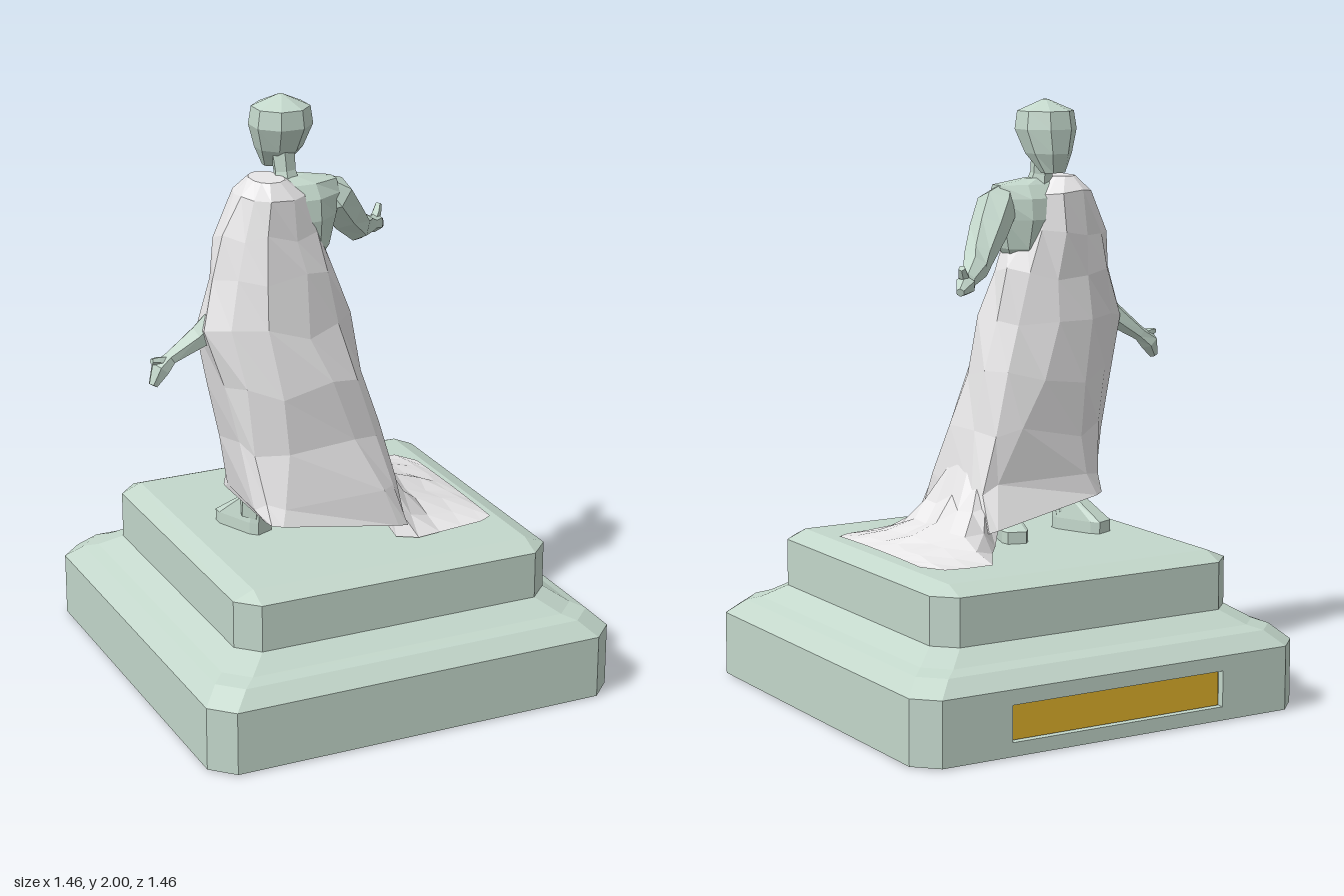
import * as THREE from 'three';

const mat = (name, color, side = THREE.FrontSide) => {
  const m = new THREE.MeshStandardMaterial({ color, flatShading: true, side });
  m.name = name;
  return m;
};
const V = (x, y, z) => new THREE.Vector3(x, y, z);
const noise = (i, j) => {
  const s = Math.sin(i * 127.1 + j * 311.7) * 43758.5453;
  return (s - Math.floor(s)) * 2 - 1;
};

// Skin rings of points (counted from +x toward +z) from bottom to top
function loft(rings, { closed = true, bottom = true, top = true, skip = () => false } = {}) {
  const pos = [];
  const tri = (...p) => p.forEach((v) => pos.push(v.x, v.y, v.z));
  const n = rings[0].length;
  for (let i = 0; i < rings.length - 1; i++) {
    for (let j = 0; j < (closed ? n : n - 1); j++) {
      if (skip(i, j)) continue;
      const k = (j + 1) % n;
      const a = rings[i][j], b = rings[i][k], c = rings[i + 1][k], d = rings[i + 1][j];
      tri(a, d, c);
      tri(a, c, b);
    }
  }
  const cap = (r, up) => {
    const m = r.reduce((s, p) => s.add(p), V(0, 0, 0)).divideScalar(n);
    r.forEach((p, j) => (up ? tri(m, r[(j + 1) % n], p) : tri(m, p, r[(j + 1) % n])));
  };
  if (bottom) cap(rings[0], false);
  if (top) cap(rings[rings.length - 1], true);
  const g = new THREE.BufferGeometry();
  g.setAttribute('position', new THREE.Float32BufferAttribute(pos, 3));
  g.computeVertexNormals();
  return g;
}

// Ring filling the box x0..x1, z0..z1; smaller e is squarer
function oval(y, x0, x1, z0, z1, n = 8, e = 1) {
  const f = (v) => Math.sign(v) * Math.pow(Math.abs(v), e);
  return Array.from({ length: n }, (_, j) => {
    const t = ((j + 0.5) / n) * Math.PI * 2;
    const s = 1 / f(Math.cos(Math.PI / n));
    return V((x0 + x1) / 2 + (x1 - x0) / 2 * f(Math.cos(t)) * s, y,
      (z0 + z1) / 2 + (z1 - z0) / 2 * f(Math.sin(t)) * s);
  });
}

// Square ring with cut corners
function cutSquare(h, c, y) {
  const k = h - c;
  return [[h, -k], [h, k], [k, h], [-k, h], [-h, k], [-h, -k], [-k, -h], [k, -h]]
    .map(([x, z]) => V(x, y, z));
}

// Tapered limb through [x, y, z, radius] stations
function limb(stations, n = 6) {
  const pts = stations.map((s) => V(s[0], s[1], s[2]));
  const rings = pts.map((p, i) => {
    const T = pts[Math.min(i + 1, pts.length - 1)].clone().sub(pts[Math.max(i - 1, 0)]).normalize();
    const U = V(0.3, 0.2, 1).cross(T).normalize();
    const W = U.clone().cross(T);
    return Array.from({ length: n }, (_, j) => {
      const t = (j / n) * Math.PI * 2;
      return p.clone().addScaledVector(U, Math.cos(t) * stations[i][3])
        .addScaledVector(W, Math.sin(t) * stations[i][3]);
    });
  });
  return loft(rings);
}

export function createModel() {
  const root = new THREE.Group();
  const stone = mat('greenStone', 0xc3d7cb);
  const cloth = mat('paleCloth', 0xe9e8e9, THREE.DoubleSide);
  const gold = mat('gold', 0xe4b42c);
  const add = (name, geo, material) => {
    const m = new THREE.Mesh(geo, material);
    m.name = name;
    root.add(m);
    return m;
  };

  // Plinth: hollow underside, lower slab, moulding, upper block
  const plinth = [
    [0.56, 0.07, 0.065], [0.7, 0.07, 0], [0.728, 0.075, 0.004], [0.728, 0.075, 0.22],
    [0.675, 0.075, 0.27], [0.635, 0.075, 0.285], [0.565, 0.07, 0.33], [0.565, 0.07, 0.49],
    [0.495, 0.001, 0.52],
  ].map((r) => cutSquare(...r));
  add('plinth', loft(plinth, { skip: (i, j) => i === 2 && j === 6 }), stone);

  // Wall with the plaque recess
  const rect = (C, x, y0, y1) => {
    const s = new C();
    s.moveTo(-x, y0).lineTo(x, y0).lineTo(x, y1).lineTo(-x, y1).closePath();
    return s;
  };
  const wallShape = rect(THREE.Shape, 0.653, 0.004, 0.22);
  wallShape.holes.push(rect(THREE.Path, 0.4, 0.05, 0.17));
  add('plaqueWall', new THREE.ExtrudeGeometry(wallShape, { depth: 0.025, bevelEnabled: false })
    .translate(0, 0, -0.728), stone);
  add('plaque', new THREE.BoxGeometry(0.785, 0.112, 0.009).translate(0, 0.109, -0.707), gold);

  // Plaque housing, seen in the hollow underside
  add('plaqueHousing', new THREE.BoxGeometry(0.81, 0.12, 0.3).translate(0, 0.112, -0.552), stone);
  add('plaqueLowerEdge', new THREE.BoxGeometry(0.785, 0.008, 0.02).translate(0, 0.05, -0.58), gold);

  // Head and neck, facing -z
  add('head', loft([
    [1.755, -0.215, -0.135, -0.065, -0.01], [1.82, -0.245, -0.1, -0.088, 0.065],
    [1.9, -0.27, -0.076, -0.09, 0.105], [1.96, -0.262, -0.085, -0.08, 0.1],
    [1.998, -0.18, -0.165, 0, 0.02],
  ].map((r) => oval(...r))), stone);
  add('neck', limb([[-0.165, 1.68, 0.04, 0.055], [-0.17, 1.75, 0.03, 0.038], [-0.175, 1.86, 0.015, 0.045]]), stone);

  // Torso
  add('torso', loft([
    [1.455, -0.17, -0.07, 0.03, 0.11], [1.5, -0.22, -0.04, -0.02, 0.14],
    [1.6, -0.28, -0.015, -0.045, 0.15], [1.67, -0.31, 0.0, -0.04, 0.14],
    [1.715, -0.31, -0.005, -0.01, 0.11], [1.735, -0.22, -0.11, 0.01, 0.07],
  ].map((r) => oval(...r))), stone);

  // Arms and hands
  add('leftArm', limb([
    [-0.045, 1.7, 0.05, 0.03], [-0.005, 1.65, 0.04, 0.07], [0.06, 1.57, -0.01, 0.065],
    [0.14, 1.49, -0.08, 0.05], [0.2, 1.465, -0.16, 0.044], [0.27, 1.438, -0.235, 0.026],
    [0.3, 1.43, -0.27, 0.034], [0.34, 1.412, -0.305, 0.014],
  ]), stone);
  add('leftThumb', limb([[0.285, 1.435, -0.255, 0.02], [0.31, 1.462, -0.275, 0.017], [0.325, 1.488, -0.29, 0.012]], 5), stone);
  add('rightArm', limb([
    [-0.42, 1.32, 0.1, 0.05], [-0.49, 1.245, 0.075, 0.042], [-0.585, 1.175, 0.05, 0.025],
    [-0.625, 1.145, 0.055, 0.035], [-0.655, 1.095, 0.065, 0.016],
  ]), stone);
  add('rightThumb', limb([[-0.6, 1.165, 0.055, 0.02], [-0.635, 1.175, 0.06, 0.015], [-0.658, 1.178, 0.065, 0.01]], 5), stone);

  // Legs and feet, toes toward -z and turned outward
  const foot = (name, x, z, turn, rise) => add(name, loft([
    oval(0.52, -0.045, 0.045, -0.1, 0.1, 8, 0.4),
    oval(0.56, -0.045, 0.045, -0.1, 0.1, 8, 0.4),
    oval(0.52 + rise, -0.035, 0.035, 0, 0.1, 8, 0.4),
  ]).rotateY(turn).translate(x, 0, z), stone);
  foot('rightFoot', -0.315, 0.0, 0.4, 0.11);
  foot('leftFoot', -0.03, 0.0, -0.3, 0.07);
  add('rightLeg', limb([[-0.3, 0.58, 0.05, 0.05], [-0.29, 0.85, 0.08, 0.06]]), stone);
  add('leftLeg', limb([[-0.03, 0.56, 0.06, 0.045], [-0.04, 0.85, 0.08, 0.06]]), stone);

  // Gown: [y, x0, x1, z0, z1, squareness], crumpled a little
  const rows = [
    [0.62, -0.37, 0.14, -0.07, 0.352, 0.14], [0.7, -0.38, 0.13, -0.06, 0.322, 0.28],
    [0.88, -0.405, 0.09, -0.06, 0.278, 0.55], [1.07, -0.445, 0.045, -0.075, 0.268, 0.8],
    [1.26, -0.49, 0.01, -0.08, 0.235, 1], [1.42, -0.445, -0.03, -0.08, 0.2, 0.9],
    [1.56, -0.405, -0.085, -0.075, 0.175, 0.8], [1.69, -0.345, -0.125, -0.065, 0.16, 0.8],
    [1.74, -0.3, -0.19, -0.025, 0.125, 0.9],
  ];
  const gown = rows.map(([y, x0, x1, z0, z1, e], i) => {
    const ring = oval(y, x0, x1, z0, z1, 12, e);
    const amp = i > 6 || i === 0 ? 0.004 : 0.012;
    ring.forEach((p, j) => {
      p.x += noise(i, j) * amp;
      p.z += noise(i + 20, j) * amp;
      if (i > 0 && i < 8) p.y += noise(i + 40, j) * amp * 2.2;
      if (i === 0) {
        p.y -= (p.x + 0.15) * 0.17;
        if (p.z < 0) p.z -= (p.x + 0.37) * 0.13;
      }
    });
    return ring;
  });
  add('gown', loft(gown, { bottom: false }), cloth);

  // Train fanning out over the plinth: [x, ridge y, z0, z1]
  const train = [
    [0.03, 0.92, -0.05, 0.24], [0.1, 0.79, -0.12, 0.32], [0.165, 0.675, -0.21, 0.36],
    [0.25, 0.605, -0.355, 0.348], [0.34, 0.572, -0.355, 0.336], [0.42, 0.55, -0.34, 0.325],
    [0.468, 0.53, -0.26, 0.295],
  ].map(([x, h, z0, z1], i) => Array.from({ length: 9 }, (_, j) => {
    const u = j / 8;
    const edge = Math.max(0.526, h - 0.27);
    const swell = Math.pow(Math.sin(u * Math.PI), 0.8) * (i > 1 && i < 6 && j % 2 ? 0.78 : 1);
    const inner = j > 0 && j < 8 && i < 6 ? noise(i + 60, j) * 0.014 : 0;
    return V(x + inner, edge + (h - edge) * swell, z0 + (z1 - z0) * u);
  }));
  add('train', loft(train, { closed: false, bottom: false, top: false }), cloth);

  return root;
}
